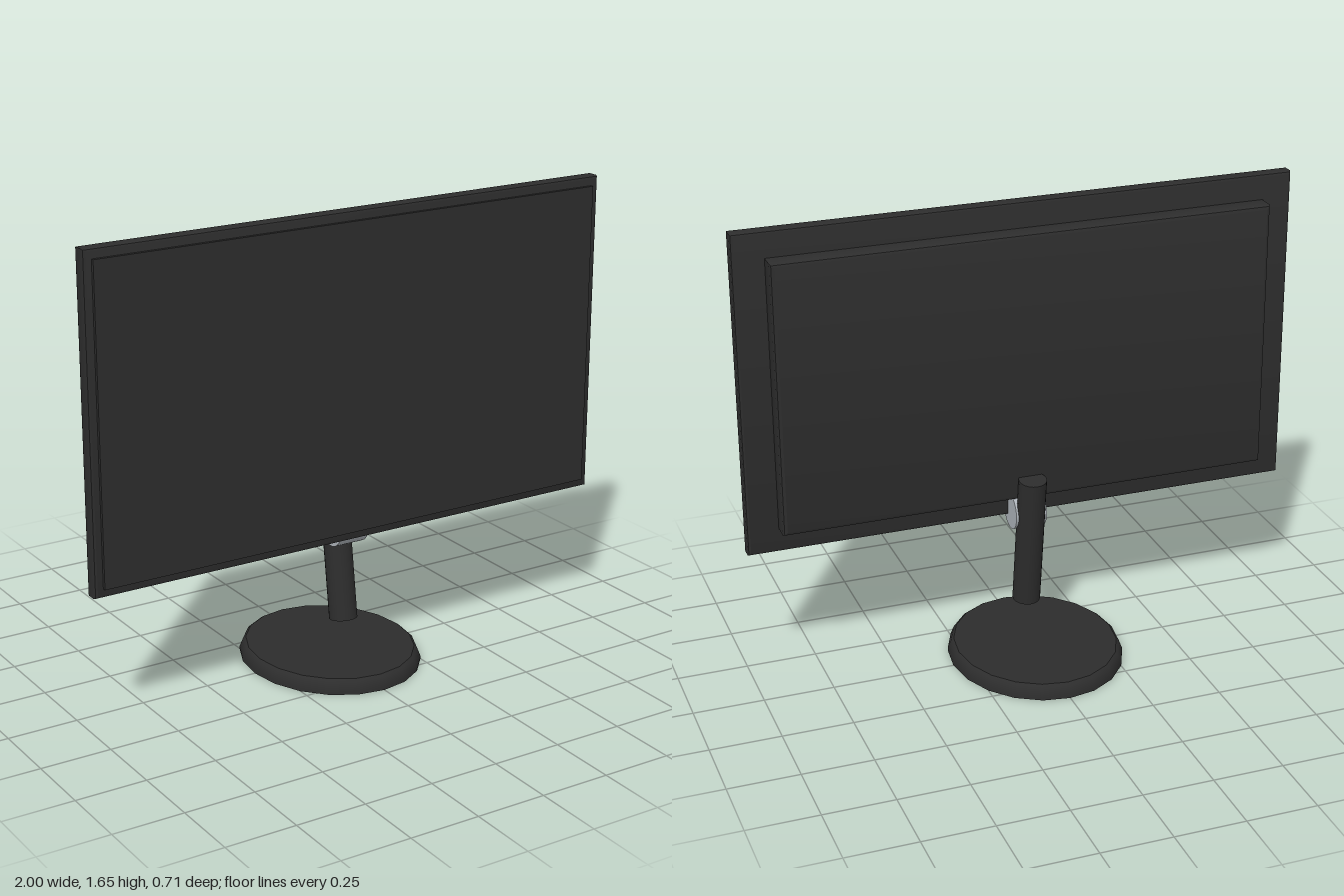
import * as THREE from 'three';
import { toCreasedNormals } from 'three/addons/utils/BufferGeometryUtils.js';

// Box with a single chamfer on every edge, given by its limits
function chamferBox(halfX, y0, y1, z0, z1, c) {
  const x = halfX - c, a = y0 + c, b = y1 - c;
  const shape = new THREE.Shape([
    new THREE.Vector2(-x, a), new THREE.Vector2(x, a),
    new THREE.Vector2(x, b), new THREE.Vector2(-x, b),
  ]);
  const geo = new THREE.ExtrudeGeometry(shape, {
    depth: z1 - z0 - 2 * c, bevelEnabled: true,
    bevelThickness: c, bevelSize: c, bevelSegments: 2,
  });
  geo.translate(0, 0, z0 + c);
  return toCreasedNormals(geo, 0.5);
}

export function createModel() {
  const group = new THREE.Group();
  const black = new THREE.MeshStandardMaterial({ color: 0x2d2d2d });
  black.name = 'charcoal plastic';
  const metal = new THREE.MeshStandardMaterial({ color: 0xb0b6bc });
  metal.name = 'light grey metal';

  const add = (name, geometry, material) => {
    const mesh = new THREE.Mesh(geometry, material);
    mesh.name = name;
    group.add(mesh);
    return mesh;
  };

  // Display: bezel slab, raised screen and rear housing
  add('bezel', chamferBox(1, 0.5, 1.655, 0.12, 0.176, 0.01), black);
  const screen = add('screen', new THREE.BoxGeometry(1.94, 1.09, 0.02), black);
  screen.position.set(0, 1.077, 0.178);
  add('rearHousing', chamferBox(0.89, 0.59, 1.565, 0.045, 0.13, 0.014), black);

  // Hinge barrel lying across the arm
  const hinge = add('hinge', new THREE.CylinderGeometry(0.066, 0.066, 0.114, 32), metal);
  hinge.rotation.z = Math.PI / 2;
  hinge.position.set(0, 0.526, 0.097);

  // Tilted arm
  const bottom = new THREE.Vector3(0, 0.175, 0.09);
  const top = new THREE.Vector3(0, 0.672, 0.021);
  const axis = top.clone().sub(bottom);
  const arm = add('arm', new THREE.CylinderGeometry(0.05, 0.05, axis.length(), 20), black);
  arm.position.copy(bottom).add(top).multiplyScalar(0.5);
  arm.quaternion.setFromUnitVectors(new THREE.Vector3(0, 1, 0), axis.normalize());

  // Oval foot with a sloping rim
  const profile = [[0, 0], [0.355, 0], [0.355, 0.01], [0.341, 0.042], [0.33, 0.05], [0, 0.05]]
    .map(([r, y]) => new THREE.Vector2(r, y));
  const foot = new THREE.LatheGeometry(profile, 20);
  foot.scale(0.31 / 0.355, 1, 1);
  add('foot', toCreasedNormals(foot, 0.6), black);

  return group;
}
